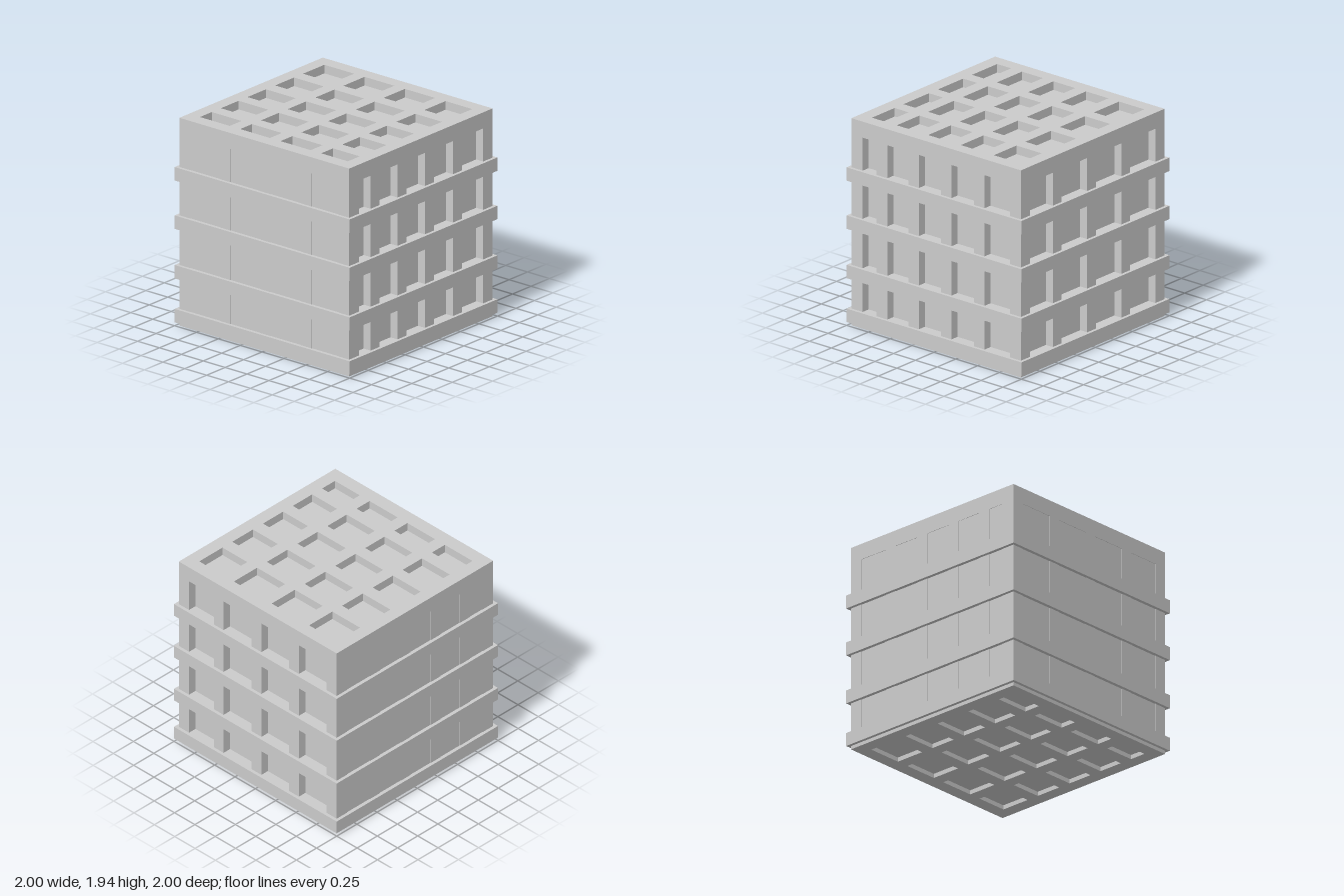
import * as THREE from 'three';

const material = new THREE.MeshStandardMaterial({ color: 0xcccccc });
const HALF = 0.97, HEIGHT = 1.94, WALL = 0.08, FLOOR = 0.04;

// Opening spans across the width (x) and along the depth (measured as -z)
const columns = [[-0.845, -0.505], [-0.385, -0.045], [0.075, 0.42], [0.54, 0.845]];
const rows = [[-0.84, -0.68], [-0.557, -0.317], [-0.197, 0.053], [0.177, 0.433], [0.555, 0.843]];

function rectangle(target, x0, x1, y0, y1) {
  target.moveTo(x0, y0).lineTo(x1, y0).lineTo(x1, y1).lineTo(x0, y1).closePath();
  return target;
}

// Flat plate pierced by a grid of rectangular openings
function plate(half, y0, y1, across, up, depth) {
  const shape = rectangle(new THREE.Shape(), -half, half, y0, y1);
  for (const [a, b] of across)
    for (const [c, d] of up) shape.holes.push(rectangle(new THREE.Path(), a, b, c, d));
  return new THREE.ExtrudeGeometry(shape, { depth, bevelEnabled: false });
}

export function createModel() {
  const model = new THREE.Group();
  const add = (name, geometry, x = 0, y = 0, z = 0) => {
    const mesh = new THREE.Mesh(geometry, material);
    mesh.name = name;
    mesh.position.set(x, y, z);
    model.add(mesh);
  };

  // Core: almost flush with the front and one side, set back elsewhere
  const flush = HALF - 0.004, inset = HALF - WALL;
  const coreTop = HEIGHT - WALL;
  add('core', new THREE.BoxGeometry(flush + inset, coreTop - FLOOR, flush + inset),
    (inset - flush) / 2, (coreTop + FLOOR) / 2, (flush - inset) / 2);

  // Roof and floor grids
  add('roofGrid', plate(HALF, -HALF, HALF, columns, rows, WALL).rotateX(-Math.PI / 2), 0, coreTop);
  add('floorGrid', plate(HALF, -HALF, HALF, columns, rows, FLOOR).rotateX(-Math.PI / 2));

  // Upright wall grids
  const span = [[0.12, 1.79]];
  const wide = plate(HALF, FLOOR, coreTop, columns, span, WALL);
  add('frontWallGrid', wide, 0, 0, inset);
  add('backWallGrid', wide, 0, 0, -HALF);
  const side = plate(inset, FLOOR, coreTop, rows, span, WALL).rotateY(Math.PI / 2);
  add('leftWallGrid', side, inset);
  add('rightWallGrid', side, -HALF);

  // Horizontal bands wrapped around the block
  const inner = [[-0.88, 0.88]];
  const band = plate(1, -1, 1, inner, inner, 0.125).rotateX(-Math.PI / 2);
  [0.032, 0.442, 0.905, 1.356].forEach((y, i) => add(`band${i + 1}`, band, 0, y));

  return model;
}
